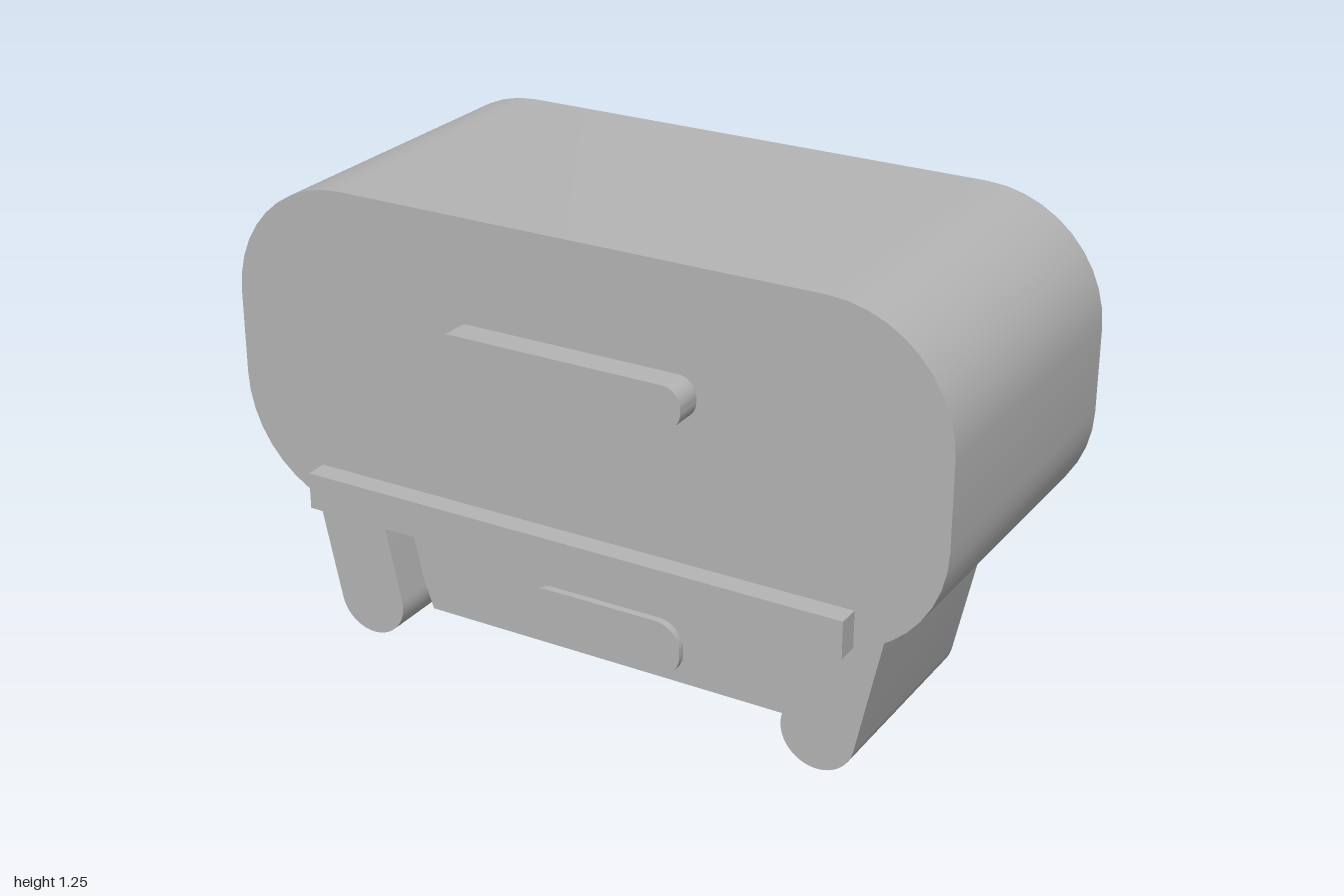
import * as THREE from 'three';
import { toCreasedNormals } from 'three/addons/utils/BufferGeometryUtils.js';

const grey = new THREE.MeshStandardMaterial({ color: 0xb4b4b4 });
grey.name = 'grey';

// Rounded rectangle centred on the origin
function roundedRect(w, h, r) {
  const x = w / 2 - r, y = h / 2 - r;
  const s = new THREE.Shape();
  s.absarc(x, y, r, 0, Math.PI / 2);
  s.absarc(-x, y, r, Math.PI / 2, Math.PI);
  s.absarc(-x, -y, r, Math.PI, Math.PI * 1.5);
  s.absarc(x, -y, r, Math.PI * 1.5, Math.PI * 2);
  s.closePath();
  return s;
}

// Extrudes a front outline from z = back to z = front
function slab(name, shape, back, front, x = 0, y = 0, curveSegments = 5) {
  const geo = new THREE.ExtrudeGeometry(shape, { depth: front - back, bevelEnabled: false, curveSegments });
  const mesh = new THREE.Mesh(toCreasedNormals(geo, Math.PI / 5), grey);
  mesh.name = name;
  mesh.position.set(x, y, back);
  return mesh;
}

export function createModel() {
  const model = new THREE.Group();
  model.name = 'grill';

  // Main body with large rounded corners
  model.add(slab('body', roundedRect(2, 0.885, 0.33), -0.48, 0.405, 0, 0.8125));

  // Front handle and shelf
  model.add(slab('handle', roundedRect(0.69, 0.11, 0.05), 0.4, 0.48, 0, 0.925));
  const shelf = new THREE.Mesh(new THREE.BoxGeometry(1.54, 0.1, 0.07), grey);
  shelf.name = 'shelf';
  shelf.position.set(0, 0.437, 0.43);
  model.add(shelf);

  // Tapered tray under the body, with its raised plate
  const trayShape = new THREE.Shape([
    new THREE.Vector2(-0.54, 0.055), new THREE.Vector2(0.54, 0.055),
    new THREE.Vector2(0.69, 0.48), new THREE.Vector2(-0.69, 0.48),
  ]);
  model.add(slab('tray', trayShape, -0.325, 0.26));
  model.add(slab('trayPlate', roundedRect(0.46, 0.155, 0.07), 0.255, 0.28, 0, 0.148));

  // Round-footed legs leaning outwards
  for (const side of [-1, 1]) {
    const legShape = new THREE.Shape();
    legShape.moveTo(0.1, 0.45);
    legShape.lineTo(-0.1, 0.45);
    legShape.absarc(0, 0, 0.1, Math.PI, Math.PI * 2);
    legShape.closePath();
    const leg = slab(side > 0 ? 'leftLeg' : 'rightLeg', legShape, -0.21, 0.365, side * 0.664, 0.1, 12);
    leg.rotation.z = -side * 0.212;
    model.add(leg);
  }
  return model;
}
